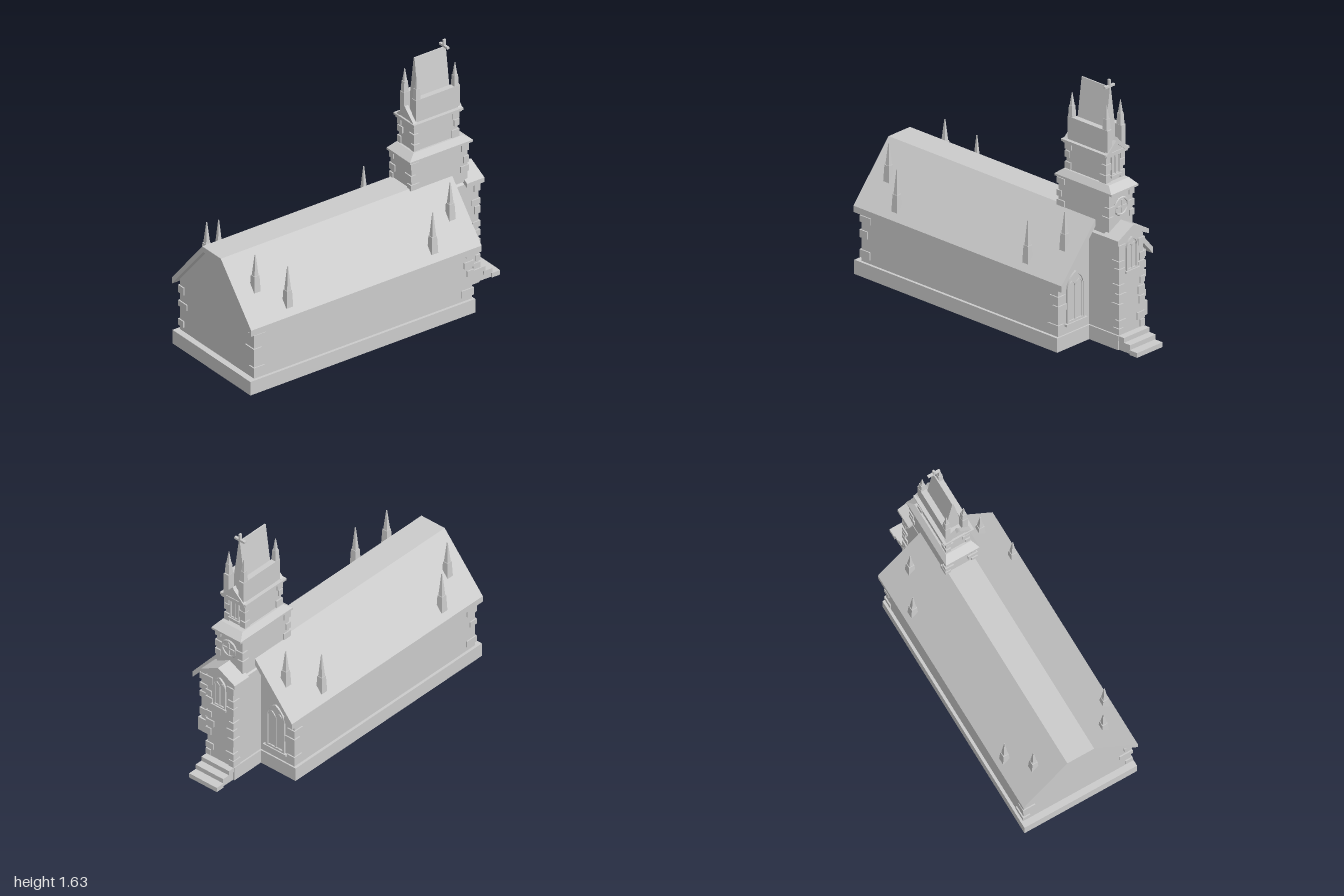
import * as THREE from 'three';

const mat = new THREE.MeshStandardMaterial({ color: 0xcccccc, flatShading: true, side: THREE.DoubleSide });

export function createModel() {
  const root = new THREE.Group();
  root.name = 'church';

  const add = (name, geo, parent = root) => {
    const m = new THREE.Mesh(geo, mat);
    m.name = name;
    parent.add(m);
    return m;
  };
  const group = (name) => {
    const g = new THREE.Group();
    g.name = name;
    root.add(g);
    return g;
  };
  // Box given by its limits
  const box = (name, x0, x1, y0, y1, z0, z1, parent) =>
    add(name, new THREE.BoxGeometry(x1 - x0, y1 - y0, z1 - z0)
      .translate((x0 + x1) / 2, (y0 + y1) / 2, (z0 + z1) / 2), parent);
  // Box whose top is scaled to (tw, td)
  const taper = (name, x, y, z, w, h, d, tw, td, parent) => {
    const g = new THREE.BoxGeometry(w, h, d);
    const p = g.attributes.position;
    for (let i = 0; i < p.count; i++) {
      if (p.getY(i) > 0) p.setXYZ(i, p.getX(i) * tw / w, p.getY(i), p.getZ(i) * td / d);
    }
    return add(name, g.translate(x, y + h / 2, z), parent);
  };
  const poly = (pts) => new THREE.Shape(pts.map(([a, b]) => new THREE.Vector2(a, b)));
  // Extrude a (z, y) outline along x
  const alongX = (name, shape, x0, depth, y = 0, z = 0, parent) =>
    add(name, new THREE.ExtrudeGeometry(shape, { depth, bevelEnabled: false, curveSegments: 8 })
      .rotateY(Math.PI / 2).translate(x0, y, z), parent);
  // Four upright walls, open above and below
  const walls = (name, x0, x1, y0, y1, hz, t) => {
    const s = poly([[x0, -hz], [x1, -hz], [x1, hz], [x0, hz]]);
    s.holes.push(poly([[x0 + t, t - hz], [x0 + t, hz - t], [x1 - t, hz - t], [x1 - t, t - hz]]));
    return add(name, new THREE.ExtrudeGeometry(s, { depth: y1 - y0, bevelEnabled: false })
      .rotateX(-Math.PI / 2).translate(0, y0, 0));
  };

  // Plinths and entrance steps
  walls('navePlinth', -1, 0.62, 0, 0.09, 0.378, 0.04);
  walls('towerPlinth', 0.6, 0.85, 0, 0.09, 0.11, 0.02);
  [[0.895, 0.09], [0.945, 0.06], [1, 0.027]].forEach(([x, y], i) =>
    box('step' + (i + 1), x - 0.06, x, y - 0.03, y, -0.107, 0.107));
  box('stepCore', 0.84, 0.88, 0, 0.07, -0.1, 0.1);
  box('stepCore', 0.88, 0.94, 0, 0.04, -0.1, 0.1);

  // Nave walls, gables and flat-ridged roof
  for (const s of [-1, 1]) box('naveSideWall', -0.96, 0.61, 0.09, 0.44, s * 0.35 - 0.01, s * 0.35 + 0.01);
  const gable = poly([[-0.36, 0.09], [0.36, 0.09], [0.36, 0.44], [0.085, 0.755], [-0.085, 0.755], [-0.36, 0.44]]);
  alongX('backGable', gable, -0.96, 0.02);
  alongX('frontGable', gable, 0.59, 0.02);
  alongX('naveRoof', poly([[0.385, 0.435], [0.09, 0.78], [-0.09, 0.78], [-0.385, 0.435],
    [-0.385, 0.395], [-0.08, 0.745], [0.08, 0.745], [0.385, 0.395]]), -1, 1.66);

  // Ledges that carry the walls on the plinth
  for (const s of [-1, 1]) {
    box('plinthLedge', -1, 0.62, 0.075, 0.09, s * 0.358 - 0.018, s * 0.358 + 0.018);
  }

  // Pinnacle: tapered shaft, small collar, spike
  const pinnacle = (x, y, z, w, shaft, spike) => {
    const g = group('pinnacle');
    taper('pinnacleShaft', x, y, z, w, shaft, w, w * 0.78, w * 0.78, g);
    taper('pinnacleSpike', x, y + shaft, z, w * 0.62, spike, w * 0.62, w * 0.1, w * 0.1, g);
  };
  for (const s of [-1, 1]) {
    for (const x of [-0.86, 0.545]) pinnacle(x, 0.585, s * 0.235, 0.046, 0.105, 0.135);
    for (const x of [-0.7, 0.345]) pinnacle(x, 0.475, s * 0.335, 0.046, 0.11, 0.155);
  }

  // Tower: gabled front bay, upper stage, belfry
  walls('towerLowerStage', 0.6, 0.85, 0.09, 0.68, 0.1, 0.02);
  alongX('towerBayGable', poly([[-0.1, 0.68], [0.1, 0.68], [0, 0.745]]), 0.64, 0.21);
  alongX('towerBayRoof', poly([[0.13, 0.7], [0, 0.768], [-0.13, 0.7], [-0.13, 0.67], [0, 0.735], [0.13, 0.67]]),
    0.745, 0.125);
  box('towerUpperStage', 0.365, 0.768, 0.7, 0.96, -0.1, 0.1);
  box('towerCornice', 0.345, 0.8, 0.955, 0.968, -0.113, 0.113);
  taper('towerCorniceSlope', 0.5725, 0.968, 0, 0.455, 0.037, 0.226, 0.36, 0.17);
  box('belfry', 0.405, 0.718, 1, 1.175, -0.073, 0.073);
  box('belfryCornice', 0.39, 0.738, 1.17, 1.182, -0.088, 0.088);
  box('belfryCorniceTop', 0.385, 0.742, 1.182, 1.196, -0.1, 0.1);

  // Crown: parapets, corner pinnacles, end gables, wedge spire
  for (const s of [-1, 1]) {
    box('parapet', 0.415, 0.735, 1.19, 1.34, s * 0.058 - 0.018, s * 0.058 + 0.018);
    for (const x of [0.435, 0.71]) pinnacle(x, 1.335, s * 0.058, 0.034, 0.075, 0.08);
  }
  taper('spire', 0.572, 1.19, 0, 0.226, 0.39, 0.116, 0.226, 0.008);
  for (const x of [0.392, 0.717]) {
    alongX('crownGable', poly([[-0.07, 1.19], [0.07, 1.19], [0, 1.255]]), x + 0.004, 0.016);
    alongX('crownGableCoping', poly([[0.095, 1.185], [0.012, 1.262], [0, 1.28], [-0.012, 1.262], [-0.095, 1.185],
      [-0.08, 1.172], [0, 1.24], [0.08, 1.172]]), x, 0.026);
  }
  box('crossPost', 0.668, 0.685, 1.52, 1.628, -0.006, 0.006);
  box('crossArm', 0.668, 0.685, 1.579, 1.592, -0.04, 0.04);

  // Pointed window outline: half width w, height h, base at y = b
  const lancet = (C, w, h, b = 0) => {
    const s = new C();
    const spring = b + h - w * 1.3;
    s.moveTo(-w, b);
    s.lineTo(w, b);
    s.lineTo(w, spring);
    s.quadraticCurveTo(w * 0.9, spring + w * 0.85, 0, b + h);
    s.quadraticCurveTo(-w * 0.9, spring + w * 0.85, -w, spring);
    return s;
  };
  const lancetFrame = (name, w, h, t, x, y, z, depth, g) => {
    const s = lancet(THREE.Shape, w, h);
    s.holes.push(lancet(THREE.Path, w - t, h - 2 * t, t));
    alongX(name, s, x, depth, y, z, g);
  };
  const archWindow = (x, y, z, w, h) => {
    const g = group('archWindow');
    const t = w * 0.17;
    lancetFrame('windowSurround', w, h, t, x - 0.005, y, z, 0.017, g);
    alongX('windowPane', lancet(THREE.Shape, w - t, h - t), x - 0.005, 0.008, y, z, g);
    for (const s of [-1, 1]) {
      lancetFrame('windowLight', w * 0.42, h * 0.8, t * 0.55, x, y + t * 0.5, z + s * w * 0.41, 0.009, g);
    }
    box('windowSill', x - 0.005, x + 0.02, y - 0.014, y, z - w * 1.22, z + w * 1.22, g);
  };
  archWindow(0.61, 0.155, 0.22, 0.072, 0.315);
  archWindow(0.61, 0.155, -0.22, 0.072, 0.315);
  archWindow(0.85, 0.485, 0, 0.047, 0.205);
  archWindow(0.718, 1.045, 0, 0.034, 0.155);

  // Round window with cross bars
  const rose = group('roundWindow');
  const torus = new THREE.TorusGeometry(0.052, 0.008, 6, 28).rotateY(Math.PI / 2).translate(0.772, 0.855, 0);
  add('roundSurround', torus, rose);
  add('roundPane', new THREE.CylinderGeometry(0.05, 0.05, 0.01, 28).rotateZ(Math.PI / 2).translate(0.768, 0.855, 0), rose);
  box('roundBarUpright', 0.765, 0.78, 0.815, 0.895, -0.005, 0.005, rose);
  box('roundBarLevel', 0.765, 0.78, 0.85, 0.86, -0.04, 0.04, rose);

  // Irregular corner stones, alternating long and short
  let seed = 7;
  const rnd = () => (seed = (seed * 16807) % 2147483647) / 2147483647;
  const quoins = (x, z, sx, ys, size) => {
    const g = group('cornerStones');
    const sz = Math.sign(z);
    ys.forEach((y, i) => {
      const a = size * (i % 2 ? 0.65 : 1) * (0.85 + 0.3 * rnd());
      const b = size * (i % 2 ? 1 : 0.65) * (0.85 + 0.3 * rnd());
      const h = 0.036 + 0.014 * rnd();
      const e = 0.008;
      add('cornerStone', new THREE.BoxGeometry(a + e, h, b + e)
        .translate(x + sx * (e - a) / 2, y, z + sz * (e - b) / 2), g);
    });
  };
  for (const z of [-1, 1]) {
    quoins(0.61, z * 0.36, 1, [0.14, 0.265, 0.325, 0.395], 0.07);
    quoins(-0.96, z * 0.36, -1, [0.14, 0.265, 0.36], 0.07);
    quoins(0.85, z * 0.1, 1, [0.115, 0.165, 0.265, 0.33, 0.39, 0.485, 0.54, 0.635], 0.05);
    for (const [x, s] of [[0.768, 1], [0.365, -1]]) quoins(x, z * 0.1, s, [0.79, 0.85, 0.93], 0.05);
    for (const [x, s] of [[0.718, 1], [0.405, -1]]) quoins(x, z * 0.073, s, [1.03, 1.1, 1.15], 0.04);
  }
  return root;
}
